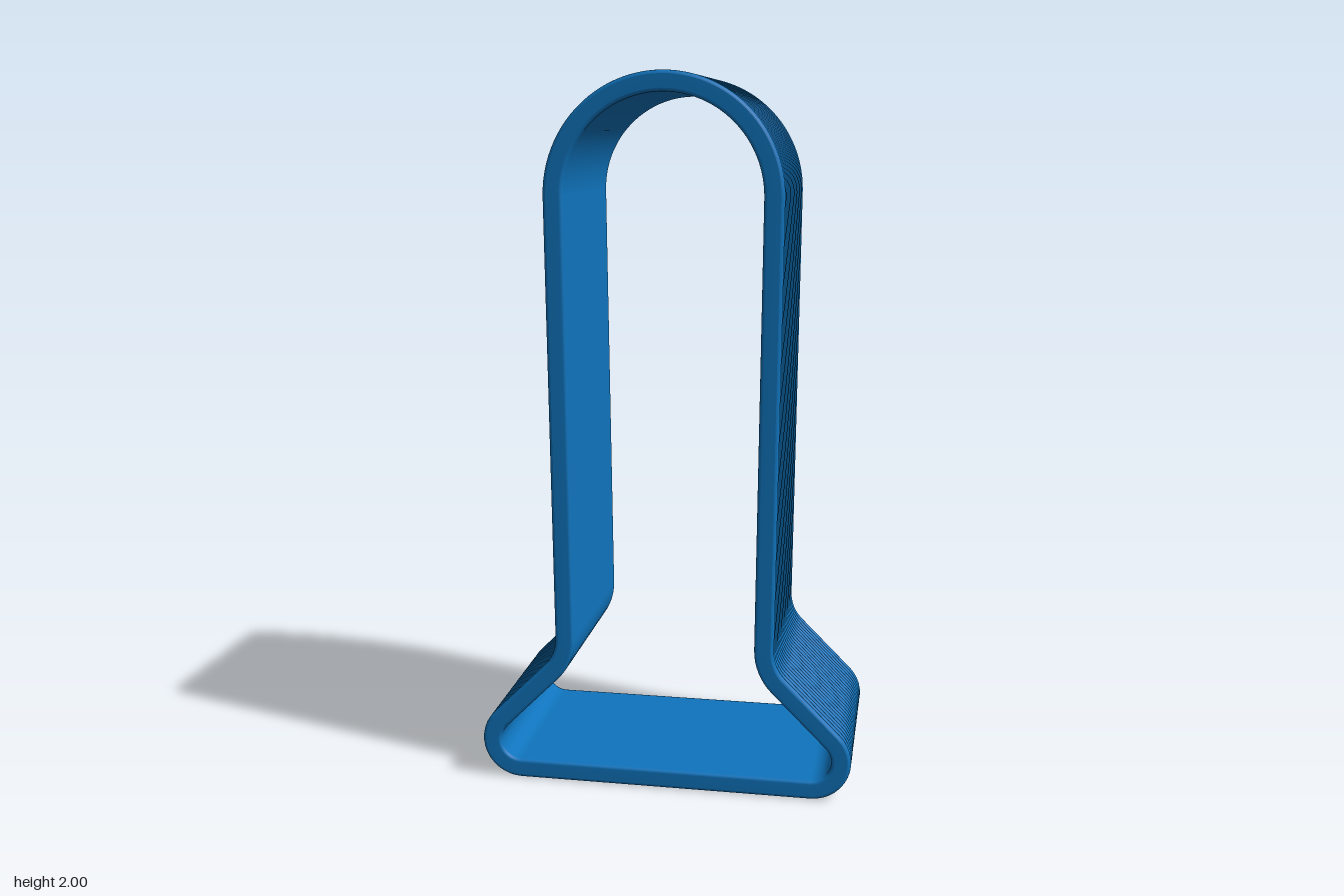
import * as THREE from 'three';

const HALF = 0.0275;      // half the wall thickness
const DEPTH = 0.272;      // half the depth along z
const RIDGES = 24;
const RIDGE_R = DEPTH / RIDGES;
const RIDGE_H = 0.0095;

// Centreline of the loop: [x, y, outward normal x, outward normal y]
function outline() {
  const half = [];
  const arc = (cx, cy, r, from, to, steps, sign) => {
    for (let i = 0; i <= steps; i++) {
      const a = THREE.MathUtils.degToRad(from + (to - from) * i / steps);
      const c = Math.cos(a), s = Math.sin(a);
      half.push([cx + r * c, cy + r * s, sign * c, sign * s]);
    }
  };
  arc(0.42, 0.113, 0.113 - HALF, -90, 45, 14, 1);        // foot corner
  arc(0.43, 0.43, 0.118 + HALF, 225, 180, 8, -1);        // concave neck
  arc(0, 1.675, 0.325 - HALF, 0, 90, 24, 1);             // arched top
  const mirrored = half.slice(0, -1).reverse().map(([x, y, nx, ny]) => [-x, y, -nx, ny]);
  return [...half, ...mirrored];
}

// Wall cross-section as separate smooth strips of [offset, z]
function wallStrips() {
  const strips = [];
  for (let k = 0; k < RIDGES; k++) {
    const strip = [];
    const zc = -DEPTH + (2 * k + 1) * RIDGE_R;
    for (let i = 0; i <= 6; i++) {
      const a = Math.PI * i / 6;
      strip.push([HALF - RIDGE_H + RIDGE_H * Math.sin(a), zc - RIDGE_R * Math.cos(a)]);
    }
    strips.push(strip);
  }
  // end faces and the smooth inside, with rounded inner rims
  const inside = [[HALF - RIDGE_H, DEPTH]];
  const rim = 0.01;
  for (const side of [1, -1]) {
    for (let i = 0; i <= 4; i++) {
      const a = Math.PI / 2 * (side > 0 ? i : 4 - i) / 4;
      inside.push([-HALF + rim - rim * Math.sin(a), side * (DEPTH - rim + rim * Math.cos(a))]);
    }
  }
  inside.push([HALF - RIDGE_H, -DEPTH]);
  strips.push(inside);
  return strips;
}

// Sweep the strips around the closed loop
function sweep(path, strips) {
  const pos = [], index = [];
  const n = path.length;
  for (const strip of strips) {
    const base = pos.length / 3, m = strip.length;
    for (const [x, y, nx, ny] of path) {
      for (const [d, z] of strip) pos.push(x + nx * d, y + ny * d, z);
    }
    for (let i = 0; i < n; i++) {
      const a = base + i * m, b = base + ((i + 1) % n) * m;
      for (let j = 0; j < m - 1; j++) {
        index.push(a + j, b + j, a + j + 1, b + j, b + j + 1, a + j + 1);
      }
    }
  }
  const geometry = new THREE.BufferGeometry();
  geometry.setAttribute('position', new THREE.Float32BufferAttribute(pos, 3));
  geometry.setIndex(index);
  geometry.computeVertexNormals();
  return geometry;
}

export function createModel() {
  const group = new THREE.Group();
  group.name = 'ribbedStand';
  const material = new THREE.MeshStandardMaterial({ color: 0x0f74bd });
  const loop = new THREE.Mesh(sweep(outline(), wallStrips()), material);
  loop.name = 'ribbedLoop';
  group.add(loop);
  return group;
}
